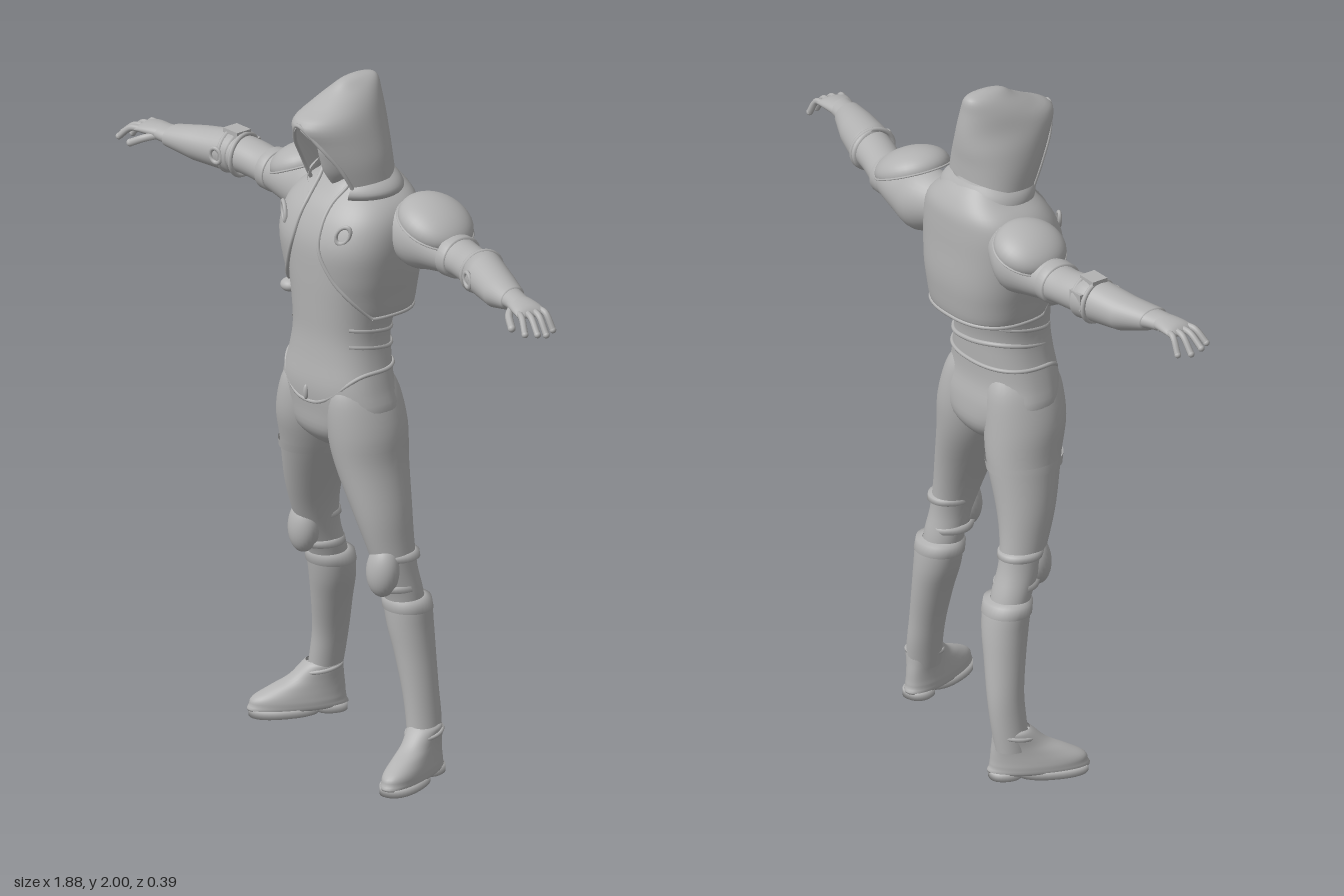
import * as THREE from 'three';
import { mergeVertices } from 'three/addons/utils/BufferGeometryUtils.js';

const gray = new THREE.MeshStandardMaterial({ color: 0xb2b2b2, side: THREE.DoubleSide });
gray.name = 'plain gray';

// Point on a cross-section row [along, centreA, centreB, radiusA, radiusB, opening, tilt]
function ringPoint(r, t, p = 2, axis = 'y') {
  const f = (c) => Math.sign(c) * Math.abs(c) ** (2 / p);
  const s = f(Math.sin(t)), c = f(Math.cos(t));
  return axis === 'y'
    ? new THREE.Vector3(r[1] + r[3] * s, r[0] + (r[6] || 0) * c, r[2] + r[4] * c)
    : new THREE.Vector3(r[0], r[1] + r[3] * c, r[2] + r[4] * s);
}

// Smoothly interpolated skin over cross-section rows
function skin(rows, { p = 2, axis = 'y', sub = 4, n = 36 } = {}) {
  rows = rows.map((r) => Array.from({ length: 7 }, (_, i) => r[i] || 0));
  if (rows[0][0] > rows[rows.length - 1][0]) rows.reverse();
  const fine = [], at = (i) => rows[Math.min(Math.max(i, 0), rows.length - 1)];
  for (let i = 0; i < rows.length - 1; i++) {
    for (let k = 0; k < sub; k++) {
      const t = k / sub;
      fine.push(at(i).map((b, j) => {
        const a = at(i - 1)[j], c = at(i + 1)[j], d = at(i + 2)[j];
        const v = b + 0.5 * t * (c - a + t * (2 * a - 5 * b + 4 * c - d + t * (3 * (b - c) + d - a)));
        return j > 2 && j < 6 ? Math.max(0, v) : v;
      }));
    }
  }
  fine.push(at(rows.length));
  const pos = [], idx = [];
  fine.forEach((r, i) => {
    for (let j = 0; j <= n; j++) {
      const t = r[5] + (j / n) * (2 * Math.PI - 2 * r[5]);
      pos.push(...ringPoint(r, t, p, axis).toArray());
      if (i && j) {
        const d = i * (n + 1) + j, c = d - 1, b = d - n - 1, a = b - 1;
        idx.push(a, b, d, a, d, c);
      }
    }
  });
  let g = new THREE.BufferGeometry();
  g.setAttribute('position', new THREE.Float32BufferAttribute(pos, 3));
  g.setIndex(idx);
  g = mergeVertices(g, 1e-5);
  g.computeVertexNormals();
  return g;
}

function add(parent, name, geo, pos = [0, 0, 0], scale = [1, 1, 1], rot = [0, 0, 0]) {
  const m = new THREE.Mesh(geo, gray);
  m.name = name;
  m.position.set(...pos);
  m.scale.set(...scale);
  m.rotation.set(...rot);
  parent.add(m);
  return m;
}

const tube = (pts, r, closed = false, seg = 32) => new THREE.TubeGeometry(
  new THREE.CatmullRomCurve3(pts.map((q) => (q.isVector3 ? q : new THREE.Vector3(...q))), closed), seg, r, 8, closed);
const ball = new THREE.SphereGeometry(1, 28, 18);
const grow = (r, d) => [r[0], r[1], r[2], r[3] + d, r[4] + d];

function buildTorso(g) {
  add(g, 'body', skin([
    [0.915, 0, 0.02, 0, 0], [0.93, 0, 0.02, 0.06, 0.07], [0.98, 0, 0.025, 0.15, 0.118], [1.05, 0, 0.03, 0.19, 0.125],
    [1.12, 0, 0.04, 0.176, 0.122], [1.2, 0, 0.035, 0.155, 0.118], [1.27, 0, 0.03, 0.145, 0.118],
    [1.35, 0, 0.02, 0.155, 0.13], [1.45, 0, 0.005, 0.178, 0.148], [1.55, 0, 0, 0.185, 0.15],
    [1.63, 0, -0.01, 0.17, 0.13], [1.68, 0, -0.02, 0.12, 0.1], [1.72, 0, -0.01, 0.065, 0.065],
    [1.8, 0, -0.01, 0.05, 0.055]], { p: 2.3, n: 48 }));

  // Waist hem dipping to a V at the front
  const hem = Array.from({ length: 40 }, (_, i) => {
    const t = (i / 40) * 2 * Math.PI, dip = Math.max(0, Math.cos(t)) ** 3;
    return ringPoint([1.175 - 0.1 * dip, 0, 0.037, 0.163 + 0.012 * dip, 0.12], t, 2.3);
  });
  add(g, 'waistHem', tube(hem, 0.006, true, 100));
  add(g, 'hemClasp', ball, [0, 1.1, 0.162], [0.008, 0.022, 0.008]);
  for (const y of [1.24, 1.29]) {
    const fold = Array.from({ length: 24 }, (_, i) => {
      const t = 0.9 + (i / 23) * (2 * Math.PI - 1.8);
      return ringPoint([y + 0.012 * Math.sin(t * 2), 0, 0.028, 0.143, 0.116], t, 2.3);
    });
    add(g, 'waistFold', tube(fold, 0.007, false, 60));
  }

  // Short open jacket and its edging
  const jacket = [
    [1.345, 0, -0.01, 0.145, 0.125, 1.25], [1.335, 0, -0.015, 0.168, 0.14, 1.15], [1.4, 0, -0.01, 0.183, 0.156, 0.7],
    [1.46, 0, -0.005, 0.195, 0.165, 0.4], [1.54, 0, 0, 0.204, 0.167, 0.2], [1.61, 0, -0.01, 0.198, 0.155, 0.17],
    [1.66, 0, -0.025, 0.172, 0.135, 0.2], [1.7, 0, -0.035, 0.122, 0.105, 0.4], [1.73, 0, -0.03, 0.09, 0.085, 0.7]];
  add(g, 'jacket', skin(jacket, { p: 2.5, n: 56 }));
  for (const s of [1, -1])
    add(g, 'jacketEdge', tube(jacket.slice(1).map((r) => ringPoint(r, s * r[5], 2.5)), 0.006, false, 48));
  add(g, 'jacketHem', tube(Array.from({ length: 30 }, (_, i) =>
    ringPoint(jacket[1], 1.15 + (i / 29) * (2 * Math.PI - 2.3), 2.5)), 0.006, false, 80));
  for (const s of [1, -1])
    add(g, 'chestRing', new THREE.TorusGeometry(0.022, 0.006, 8, 20), [s * 0.125, 1.595, 0.134], [0.8, 1.3, 1], [0, s * 0.5, -s * 0.6]);
  add(g, 'waistPouch', ball, [-0.135, 1.365, 0.1], [0.03, 0.02, 0.03]);
}

function buildHead(g) {
  add(g, 'head', ball, [0, 1.8, 0.005], [0.068, 0.12, 0.09]);
  add(g, 'faceMask', skin([
    [1.695, 0, 0.02, 0.025, 0.045], [1.73, 0, 0.01, 0.052, 0.078], [1.77, 0, 0.01, 0.064, 0.092],
    [1.805, 0, 0.01, 0.064, 0.1, 0, 0.006], [1.815, 0, 0.005, 0.06, 0.08]], { p: 1.7 }));
  for (const s of [1, -1]) {
    add(g, 'brow', ball, [s * 0.028, 1.845, 0.083], [0.026, 0.008, 0.012], [0, s * 0.35, s * 0.25]);
    add(g, 'eye', ball, [s * 0.028, 1.826, 0.083], [0.015, 0.006, 0.008], [0, s * 0.3, s * 0.15]);
  }
  const hood = [
    [1.715, 0.005, -0.005, 0.126, 0.105, 0.85, -0.035], [1.78, 0.003, 0.015, 0.122, 0.125, 0.75, -0.015],
    [1.84, 0, 0.03, 0.11, 0.142, 0.5, 0], [1.895, 0, 0.04, 0.092, 0.15, 0, 0.005], [1.94, -0.003, 0.012, 0.07, 0.115, 0, -0.005],
    [1.975, -0.005, -0.016, 0.045, 0.082, 0, -0.008], [1.994, -0.005, -0.025, 0.022, 0.052, 0, -0.002], [2, -0.005, -0.025, 0, 0]];
  add(g, 'hood', skin(hood, { p: 2.1, n: 48 }));
  const side = (s) => hood.slice(0, 4).map((r) => ringPoint(r, s * r[5], 2.1));
  add(g, 'hoodRim', tube([...side(1), ...side(-1).reverse().slice(1)], 0.006, false, 60));
  // Gathered cloth under the hood
  add(g, 'cowl', skin([
    [1.665, 0, -0.02, 0.135, 0.115, 0.6], [1.69, 0.01, -0.012, 0.146, 0.122, 0.6], [1.715, 0.008, -0.01, 0.135, 0.115, 0.7],
    [1.74, 0, -0.015, 0.105, 0.095, 0.85]], { p: 2.1 }));
}

function buildArm(g, s) {
  const L = s > 0;
  const rows = (L ? [
    [0.14, 1.59, -0.055, 0.07, 0.07], [0.22, 1.577, -0.065, 0.094, 0.085], [0.3, 1.573, -0.062, 0.076, 0.075],
    [0.42, 1.572, -0.045, 0.052, 0.062], [0.5, 1.577, -0.02, 0.05, 0.06], [0.58, 1.58, 0.003, 0.052, 0.06],
    [0.68, 1.574, 0.038, 0.043, 0.053], [0.76, 1.58, 0.063, 0.027, 0.038], [0.81, 1.578, 0.076, 0.024, 0.036]
  ] : [
    [0.14, 1.59, -0.055, 0.07, 0.07], [0.22, 1.577, -0.075, 0.094, 0.085], [0.3, 1.575, -0.08, 0.076, 0.072],
    [0.42, 1.58, -0.08, 0.053, 0.06], [0.5, 1.588, -0.077, 0.052, 0.06], [0.58, 1.59, -0.068, 0.053, 0.057],
    [0.68, 1.586, -0.045, 0.044, 0.051], [0.76, 1.592, -0.015, 0.027, 0.042], [0.81, 1.595, -0.005, 0.023, 0.036]
  ]).map((r) => [s * r[0], ...r.slice(1)]);
  const o = { axis: 'x' };
  add(g, 'arm', skin(rows, o));
  // Forearm guard with raised ends
  const [e, f, w] = [rows[5], rows[6], rows[7]];
  const b0 = [s * 0.545, ...e.slice(1).map((v, i) => v + (i === 1 ? (L ? -0.012 : -0.006) : 0))];
  add(g, 'forearmGuard', skin([grow(b0, -0.01), grow(b0, 0.01), grow(e, 0.007), grow(f, 0.007), grow(w, 0.006), grow(w, -0.01)], { axis: 'x', sub: 1 }));
  const cuff = rows[3], c2 = [...cuff];
  c2[0] -= s * 0.03;
  add(g, 'sleeveCuff', skin([grow(c2, 0), grow(c2, 0.009), grow(cuff, 0.008), grow(cuff, -0.005)], { axis: 'x', sub: 1 }));
  // Straps and fittings on the guard
  for (const d of L ? [0.03] : [0, 0.05])
    add(g, 'guardStrap', new THREE.TorusGeometry(0.062, 0.007, 8, 32), [e[0] - s * d, e[1], e[2] - (L ? 0.01 : 0.002)], [1.03, 0.95, 1], [0, Math.PI / 2 - s * 0.2, 0]);
  add(g, 'guardBuckle', new THREE.TorusGeometry(0.018, 0.006, 8, 16), [s * 0.575, e[1], e[2] + 0.064], [1, 1.2, 1], [0, -s * 0.25, 0.3]);
  if (!L) {
    add(g, 'guardDevice', new THREE.BoxGeometry(0.06, 0.018, 0.05), [-0.56, 1.65, -0.07]);
    add(g, 'guardDevice', new THREE.BoxGeometry(0.05, 0.05, 0.014), [-0.555, 1.6, -0.125]);
  }
  // Shoulder plate
  const half = new THREE.SphereGeometry(1, 32, 14, 0, Math.PI * 2, 0, Math.PI * 0.55);
  const z = L ? -0.055 : -0.085;
  const pad = add(g, 'shoulderPlate', half, [s * (L ? 0.3 : 0.285), 1.64, z], [L ? 0.113 : 0.1, 0.06, 0.105], [0, 0, -s * 0.4]);
  add(pad, 'shoulderPlateRim', new THREE.TorusGeometry(0.99, 0.05, 8, 48), [0, -0.12, 0], [1, 1, 1], [Math.PI / 2, 0, 0]);

  // Hand, built pointing along +x and placed at the wrist
  const hand = new THREE.Group();
  hand.name = L ? 'leftHand' : 'rightHand';
  hand.position.set(s * 0.785, L ? 1.578 : 1.594, L ? 0.07 : -0.008);
  hand.rotation.y = L ? -0.2 : 0.1;
  hand.rotation.z = L ? -0.12 : 0.05;
  add(hand, 'palm', skin([[-0.01, 0, 0, 0.022, 0.032], [0.03, 0.005, 0, 0.02, 0.04], [0.07, 0.006, 0, 0.016, 0.045], [0.09, 0.002, 0, 0.008, 0.04], [0.093, 0, 0, 0, 0]]
    .map((r) => [s * r[0], ...r.slice(1)]), o));
  for (let i = 0; i < 4; i++) {
    const k = i - 1.5, len = [0.064, 0.078, 0.072, 0.052][3 - i];
    const pts = [[0.07, 0.006, k * 0.022], [0.07 + len * 0.5, 0.004, k * 0.026], [0.075 + len, -0.026 - (i < 2 ? 0.01 : 0), k * 0.032]]
      .map(([x, y, zz]) => [s * x, y, zz]);
    add(hand, 'finger', tube(pts, 0.0095, false, 12));
    add(hand, 'fingertip', ball, pts[2], [0.0095, 0.0095, 0.0095]);
  }
  const thumb = [[s * 0.015, -0.004, 0.022], [s * 0.045, -0.012, 0.048], [s * 0.085, -0.03, 0.06]];
  add(hand, 'thumb', tube(thumb, 0.011, false, 12));
  add(hand, 'thumbTip', ball, thumb[2], [0.011, 0.011, 0.011]);
  g.add(hand);
}

function buildLeg(g, s) {
  // The right leg trails behind the left one
  const dz = (y) => (s > 0 ? 0 : -0.11 * Math.min(1, Math.max(0, (1 - y) / 0.75)));
  const dx = (y) => (s > 0 ? 0 : -0.018 * Math.min(1, Math.max(0, (0.9 - y) / 0.3)));
  const place = (rows) => rows.map(([y, x, z, a, b]) => [y, s * (x + dx(y)), z + dz(y), a, b]);
  add(g, 'trouserLeg', skin(place([
    [0.42, 0.22, -0.025, 0.05, 0.05], [0.52, 0.212, -0.012, 0.057, 0.057], [0.6, 0.206, 0.01, 0.054, 0.064],
    [0.68, 0.192, 0.022, 0.06, 0.075], [0.77, 0.168, 0.028, 0.074, 0.09], [0.9, 0.124, 0.028, 0.092, 0.112],
    [1, 0.108, 0.03, 0.099, 0.122], [1.1, 0.095, 0.035, 0.082, 0.115], [1.16, 0.08, 0.035, 0.06, 0.09]])));
  add(g, 'kneePad', ball, [s * (0.21 + dx(0.6)), 0.605, 0.06 + dz(0.6)], [0.05, 0.078, 0.045], [-0.1, s * 0.15, 0]);
  for (const y of [0.55, 0.64])
    add(g, 'kneeStrap', skin(place([[y - 0.012, 0.206, 0.005, 0.05, 0.055], [y - 0.008, 0.206, 0.005, 0.061, 0.066],
      [y + 0.008, 0.204, 0.008, 0.061, 0.068], [y + 0.012, 0.204, 0.008, 0.05, 0.055]]), { sub: 1 }));
  if (s < 0) add(g, 'thighStrap', skin(place([[0.875, 0.133, 0.028, 0.094, 0.113], [0.9, 0.125, 0.028, 0.097, 0.117]]), { sub: 1 }));

  // Boot shaft with cuff
  add(g, 'bootShaft', skin(place([
    [0.09, 0.288, -0.025, 0.043, 0.052], [0.17, 0.276, -0.03, 0.044, 0.054], [0.25, 0.262, -0.03, 0.047, 0.055],
    [0.35, 0.24, -0.03, 0.055, 0.061], [0.43, 0.222, -0.028, 0.066, 0.066], [0.5, 0.214, -0.025, 0.071, 0.064], [0.515, 0.213, -0.022, 0.052, 0.05]])));
  add(g, 'bootCuff', skin(place([[0.475, 0.216, -0.025, 0.065, 0.06], [0.478, 0.216, -0.025, 0.075, 0.069],
    [0.51, 0.213, -0.022, 0.074, 0.067], [0.515, 0.213, -0.022, 0.052, 0.05]]), { sub: 1 }));

  // Foot turned outward
  const foot = new THREE.Group();
  foot.name = s > 0 ? 'leftFoot' : 'rightFoot';
  foot.position.set(s * (0.315 + dx(0)), 0, 0.045 + dz(0));
  foot.rotation.y = s * (s > 0 ? 0.33 : 0.45);
  add(foot, 'shoe', skin([
    [0.014, 0, 0, 0, 0], [0.015, 0, 0, 0.046, 0.134], [0.035, 0, 0, 0.052, 0.139], [0.055, 0, -0.004, 0.05, 0.133],
    [0.08, 0, -0.027, 0.046, 0.108], [0.105, 0, -0.052, 0.044, 0.08], [0.14, 0, -0.07, 0.045, 0.058], [0.15, 0, -0.07, 0.036, 0.046]], { p: 2.2 }));
  for (const [name, z, rx, rz] of [['sole', 0.04, 0.053, 0.1], ['heel', -0.095, 0.042, 0.046]])
    add(foot, name, skin([[0, 0, z, 0, 0], [0, 0, z, rx, rz], [0.022, 0, z, rx, rz], [0.024, 0, z, 0, 0]], { sub: 1, p: 2.3 }));
  add(foot, 'ankleStrap', new THREE.TorusGeometry(0.05, 0.006, 8, 28), [0, 0.13, -0.067], [0.95, 1.15, 1], [Math.PI / 2 + 0.15, 0, 0]);
  g.add(foot);
}

export function createModel() {
  const model = new THREE.Group();
  model.name = 'hoodedFigure';
  buildTorso(model);
  buildHead(model);
  for (const s of [1, -1]) {
    buildArm(model, s);
    buildLeg(model, s);
  }
  return model;
}
